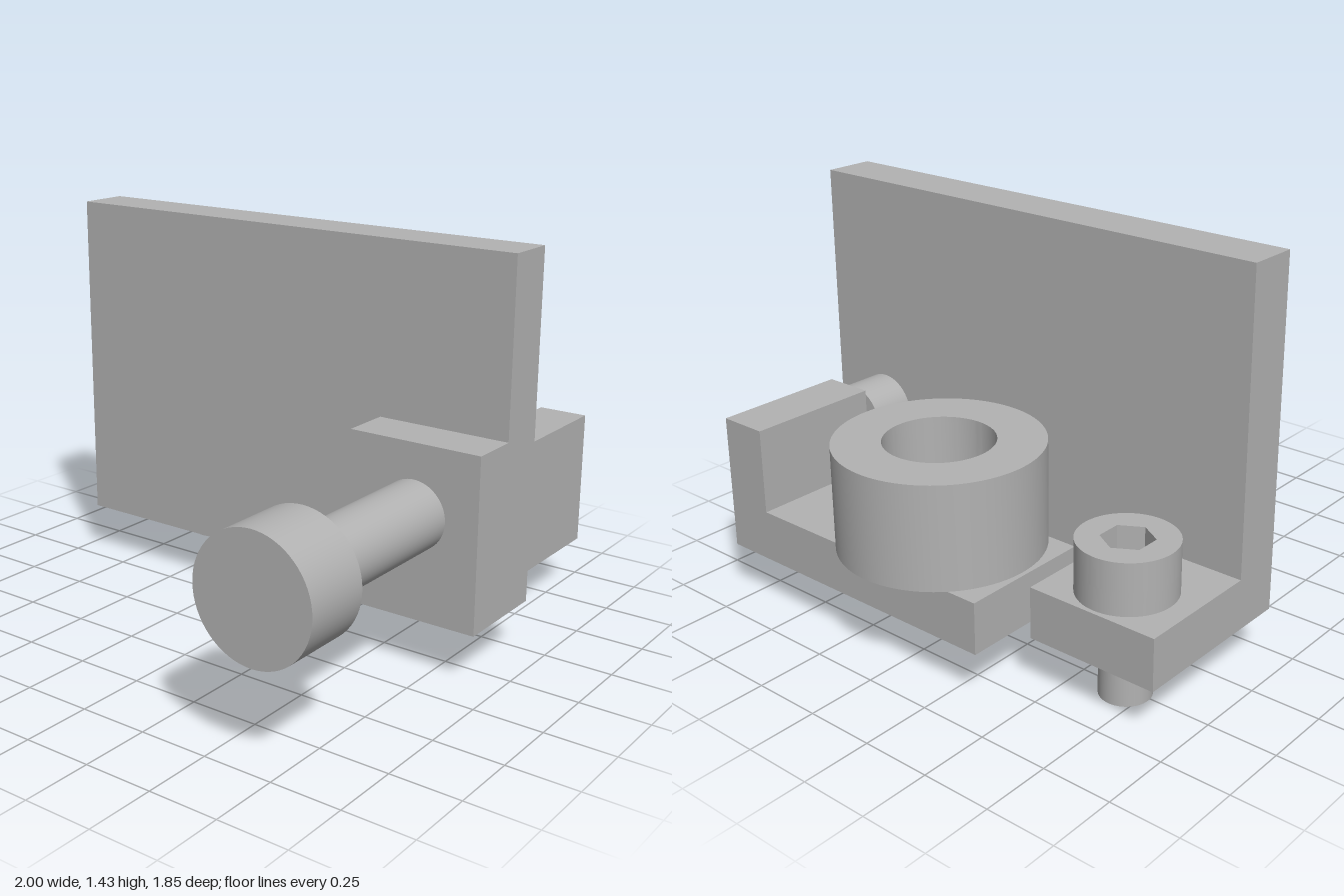
import * as THREE from 'three';
import { toCreasedNormals } from 'three/addons/utils/BufferGeometryUtils.js';

export function createModel() {
  const model = new THREE.Group();
  model.name = 'clampBracket';
  const grey = new THREE.MeshStandardMaterial({ color: 0xb2b2b2 });
  grey.name = 'plain grey';

  const add = (name, geometry, parent = model) => {
    const mesh = new THREE.Mesh(geometry, grey);
    mesh.name = name;
    parent.add(mesh);
    return mesh;
  };
  const group = (name) => {
    const g = new THREE.Group();
    g.name = name;
    model.add(g);
    return g;
  };
  // Box given by its limits on each axis
  const box = (x0, x1, y0, y1, z0, z1) =>
    new THREE.BoxGeometry(x1 - x0, y1 - y0, z1 - z0)
      .translate((x0 + x1) / 2, (y0 + y1) / 2, (z0 + z1) / 2);
  // Upright and sideways cylinders
  const rod = (r, y0, y1, x, z) =>
    new THREE.CylinderGeometry(r, r, y1 - y0, 64).translate(x, (y0 + y1) / 2, z);
  const rodX = (r, x0, x1, y, z) =>
    new THREE.CylinderGeometry(r, r, x1 - x0, 64).rotateZ(Math.PI / 2)
      .translate((x0 + x1) / 2, y, z);
  // Shape in (x, -z) raised from y0 to y1, with one hole
  const raise = (shape, hole, y0, y1) => {
    shape.holes.push(hole);
    const g = new THREE.ExtrudeGeometry(shape, { depth: y1 - y0, bevelEnabled: false, curveSegments: 64 });
    return toCreasedNormals(g.rotateX(-Math.PI / 2).translate(0, y0, 0), 0.6);
  };
  const circle = (Type, x, z, r) => new Type().absarc(x, -z, r, 0, Math.PI * 2, false);

  // Upright plate with its threaded boss and mounting foot
  const bracket = group('bracket');
  add('uprightPlate', box(0.05, 0.235, 0.19, 1.43, -0.928, 0.925), bracket);
  add('threadBoss', box(-0.13, 0.05, 0.19, 0.81, 0.43, 0.925), bracket);
  add('mountingFoot', box(0.235, 0.7, 0.19, 0.375, -0.928, -0.44), bracket);

  // Upright socket screw through the foot
  const sx = 0.515, sz = -0.685;
  const screw = group('footScrew');
  add('screwShank', rod(0.09, 0, 0.19, sx, sz), screw);
  add('screwHeadBase', rod(0.17, 0.375, 0.46, sx, sz), screw);
  const hex = new THREE.Path();
  hex.setFromPoints([0, 1, 2, 3, 4, 5, 6].map((i) =>
    new THREE.Vector2(sx + 0.09 * Math.cos(i * Math.PI / 3), -sz + 0.09 * Math.sin(i * Math.PI / 3))));
  add('screwHeadSocket', raise(circle(THREE.Shape, sx, sz, 0.17), hex, 0.46, 0.56), screw);

  // Adjusting arm with a raised stop and a bored ring
  const arm = group('adjustingArm');
  const base = new THREE.Shape();
  base.moveTo(0.395, -0.62).lineTo(0.888, -0.62).lineTo(0.888, 0.373).lineTo(0.395, 0.373).closePath();
  add('armPlate', raise(base, circle(THREE.Path, 0.642, 0, 0.19), 0.19, 0.375), arm);
  add('armStop', box(0.395, 0.888, 0.19, 0.683, 0.62, 0.803), arm);
  add('ring', raise(circle(THREE.Shape, 0.642, 0, 0.357), circle(THREE.Path, 0.642, 0, 0.19), 0.375, 0.745), arm);

  // Sideways adjusting screw bearing on the stop
  const adjuster = group('adjustingScrew');
  add('adjusterHead', rodX(0.216, -1, -0.752, 0.56, 0.68), adjuster);
  add('adjusterShankOuter', rodX(0.123, -0.752, -0.13, 0.56, 0.68), adjuster);
  add('adjusterShankInner', rodX(0.123, 0.235, 0.395, 0.56, 0.68), adjuster);

  return model;
}
